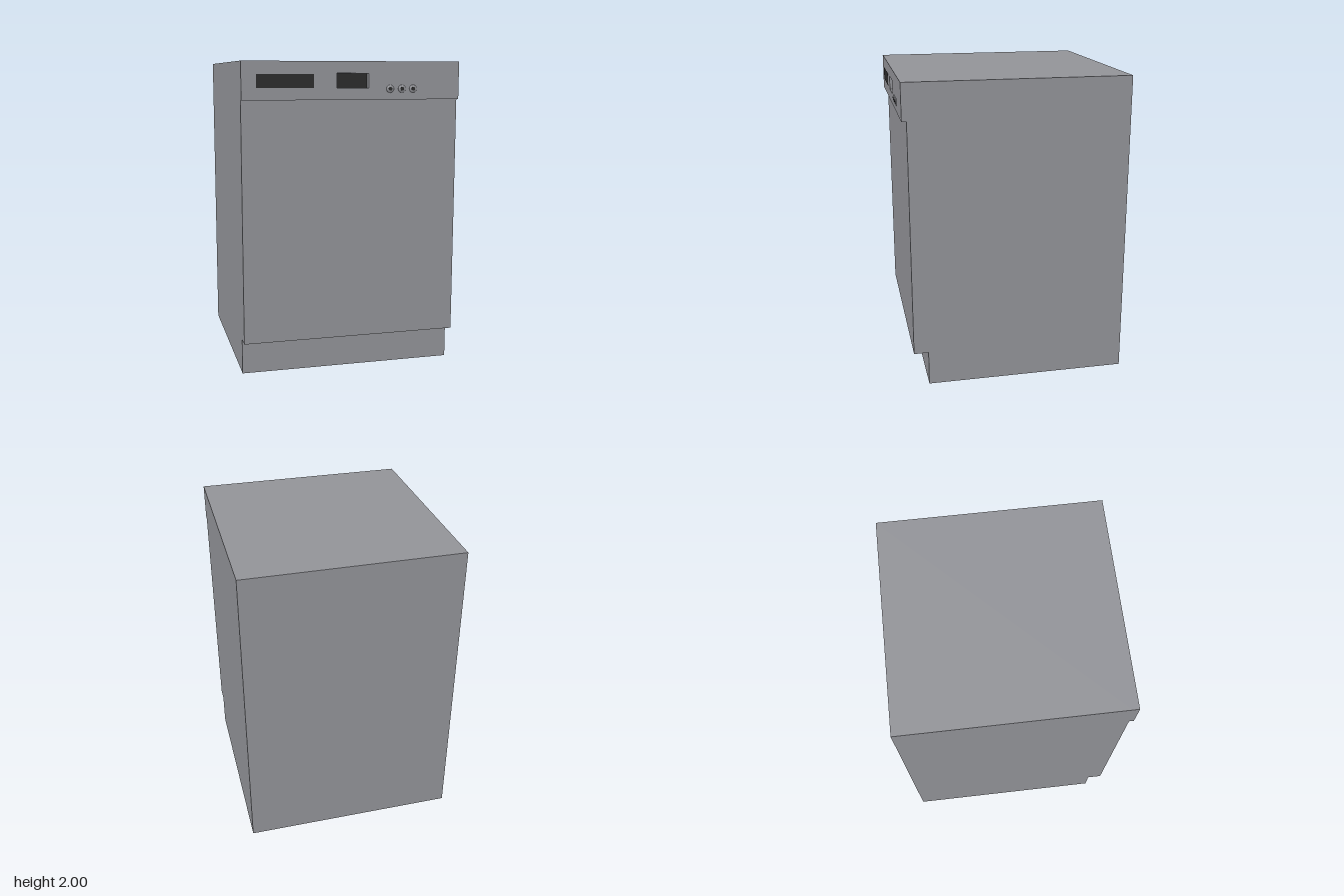
import * as THREE from 'three';

export function createModel() {
  const steel = new THREE.MeshStandardMaterial({ color: 0x929398 });
  steel.name = 'steel grey';
  const dark = new THREE.MeshStandardMaterial({ color: 0x2b2b2b });
  dark.name = 'dark grey';

  const W = 1.404, PANEL_Y = 1.763, PANEL_Z = 0.72, RECESS_Z = 0.68;
  const group = new THREE.Group();
  group.name = 'dishwasher';

  function add(name, geometry, material, x = 0, y = 0, z = 0) {
    const mesh = new THREE.Mesh(geometry, material);
    mesh.name = name;
    mesh.position.set(x, y, z);
    group.add(mesh);
    return mesh;
  }
  const polygon = (points) => new THREE.Shape(points.map(([x, y]) => new THREE.Vector2(x, y)));

  // Cabinet with toe kick and door: side profile (depth, height) swept across the width
  const profile = polygon([
    [-0.727, 0], [0.595, 0], [0.595, 0.227], [0.69, 0.227],
    [0.69, PANEL_Y], [RECESS_Z, PANEL_Y], [RECESS_Z, 2], [-0.727, 2],
  ]);
  const cabinet = new THREE.ExtrudeGeometry(profile, { depth: W, bevelEnabled: false });
  cabinet.rotateY(-Math.PI / 2); // shape x becomes z, depth becomes -x
  add('cabinet', cabinet, steel, W / 2);

  // Control panel with a cut-out for the handle recess
  const rect = (x0, x1, y0, y1) => [[x0, y0], [x1, y0], [x1, y1], [x0, y1]];
  const face = polygon(rect(-W / 2, W / 2, PANEL_Y, 2));
  face.holes.push(polygon(rect(-0.105, 0.1, 1.836, 1.926)));
  const panel = new THREE.ExtrudeGeometry(face, { depth: PANEL_Z - RECESS_Z, bevelEnabled: false });
  add('controlPanel', panel, steel, 0, 0, RECESS_Z);

  // Dark back of the recess and the display strip
  add('recessBack', new THREE.BoxGeometry(0.205, 0.09, 0.004), dark, -0.0025, 1.881, RECESS_Z);
  add('display', new THREE.BoxGeometry(0.36, 0.084, 0.004), dark, -0.431, 1.88, PANEL_Z - 0.001);

  // Three shallow domed buttons with dark centres
  for (const x of [0.24, 0.318, 0.392]) {
    const dome = new THREE.SphereGeometry(0.025, 20, 6, 0, Math.PI * 2, 0, Math.PI / 2);
    dome.rotateX(Math.PI / 2);
    dome.scale(1, 1, 0.32);
    add('button', dome, steel, x, 1.83, PANEL_Z);
    const dot = new THREE.CylinderGeometry(0.012, 0.012, 0.004, 16);
    dot.rotateX(Math.PI / 2);
    add('buttonCentre', dot, dark, x, 1.83, PANEL_Z + 0.007);
  }
  return group;
}
